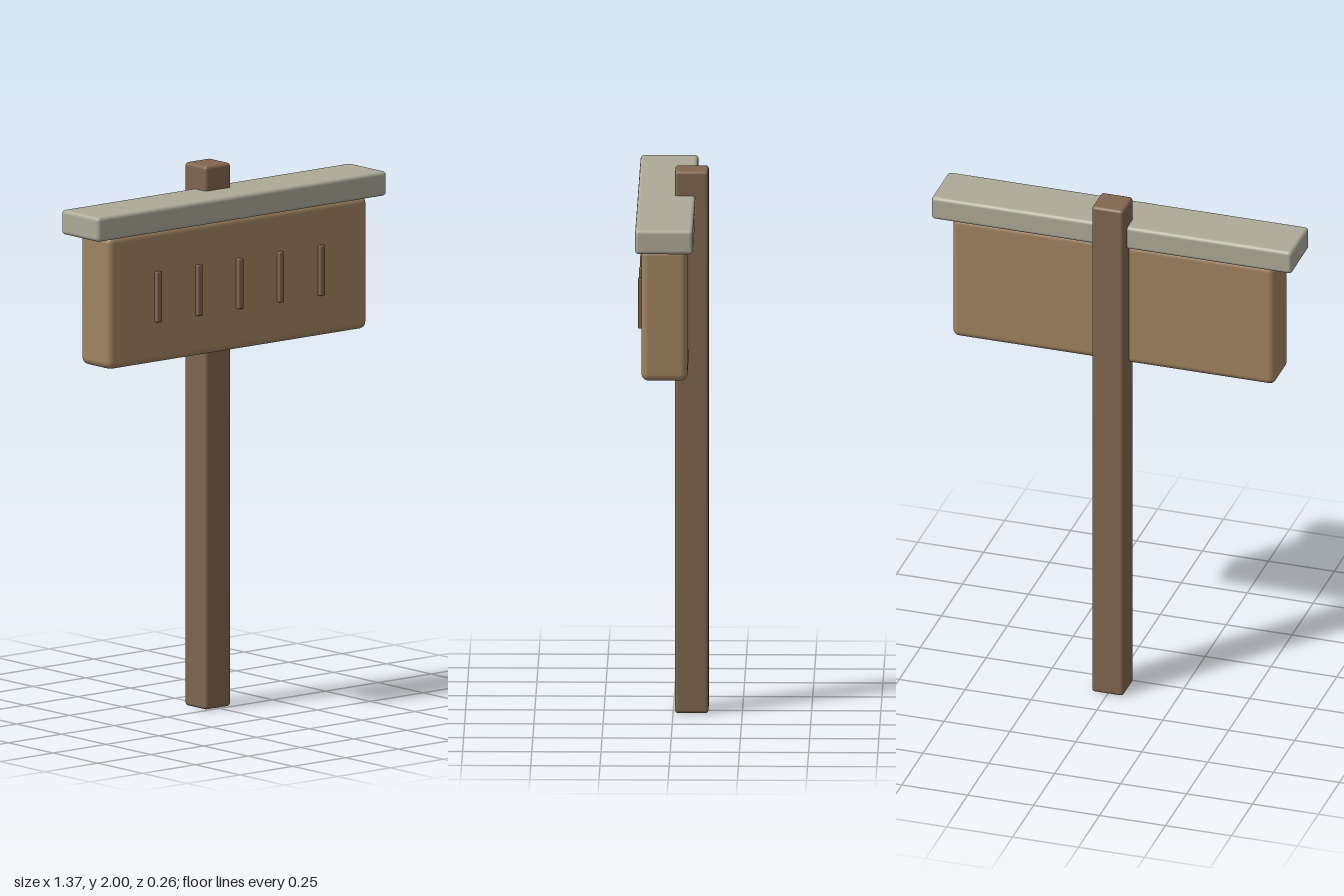
import * as THREE from 'three';
import { RoundedBoxGeometry } from 'three/addons/geometries/RoundedBoxGeometry.js';

export function createModel() {
  const model = new THREE.Group();
  const darkWood = new THREE.MeshStandardMaterial({ color: 0x80664f });
  const lightWood = new THREE.MeshStandardMaterial({ color: 0xa08360 });
  const paleCap = new THREE.MeshStandardMaterial({ color: 0xadaa98 });

  // Rounded block given by its extents on each axis
  const block = (name, material, [x0, x1], [y0, y1], [z0, z1], radius) => {
    const geometry = new RoundedBoxGeometry(x1 - x0, y1 - y0, z1 - z0, 3, radius);
    const mesh = new THREE.Mesh(geometry, material);
    mesh.name = name;
    mesh.position.set((x0 + x1) / 2, (y0 + y1) / 2, (z0 + z1) / 2);
    model.add(mesh);
  };

  block('post', darkWood, [-0.06, 0.06], [0, 2], [-0.128, -0.007], 0.012);
  block('signBoard', lightWood, [-0.612, 0.612], [1.337, 1.825], [-0.06, 0.106], 0.025);
  block('roofCap', paleCap, [-0.684, 0.684], [1.82, 1.91], [-0.081, 0.128], 0.014);

  // Row of upright strips on the front of the board
  for (let i = -2; i <= 2; i++) {
    const x = i * 0.193;
    block('boardStrip', darkWood, [x - 0.012, x + 0.012], [1.488, 1.674], [0.097, 0.121], 0.005);
  }
  return model;
}
